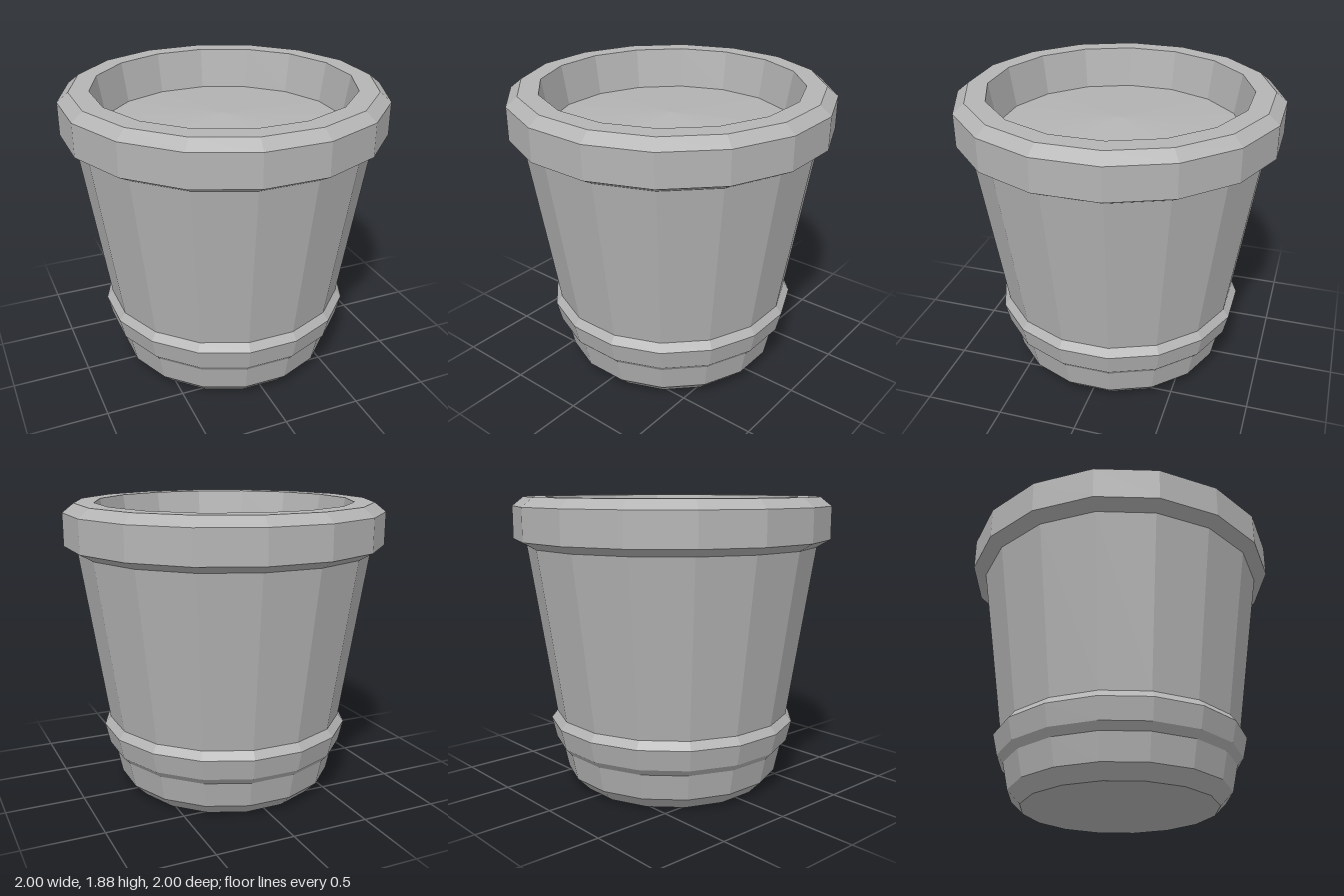
import * as THREE from 'three';

const SIDES = 16;
// Profile radii are measured to the middle of each flat side
const TO_CORNER = 1 / Math.cos(Math.PI / SIDES);

export function createModel() {
  const group = new THREE.Group();
  const clay = new THREE.MeshStandardMaterial({ color: 0xb4b4b4, flatShading: true });
  clay.name = 'grey clay';

  // Sixteen-sided ring or disc turned from a list of [radius, height]
  function turned(name, profile) {
    const points = profile.map(([r, y]) => new THREE.Vector2(r * TO_CORNER, y));
    const geometry = new THREE.LatheGeometry(points, SIDES, Math.PI / SIDES);
    const mesh = new THREE.Mesh(geometry, clay);
    mesh.name = name;
    group.add(mesh);
  }

  // Closed foot with a chamfered lower edge
  turned('foot', [[0, 0], [0.61, 0], [0.69, 0.083], [0.725, 0.25]]);
  // Raised band above the foot
  turned('band', [[0.725, 0.25], [0.765, 0.295], [0.795, 0.428], [0.757, 0.477]]);
  // Tapered wall
  turned('wall', [[0.757, 0.477], [0.918, 1.57]]);
  // Thick rim, over the top and down the inside
  turned('rim', [[0.918, 1.57], [1, 1.617], [1, 1.823], [0.93, 1.88], [0.808, 1.88], [0.765, 1.62]]);
  // Slightly mounded soil
  turned('soil', [[0.765, 1.62], [0, 1.69]]);

  return group;
}
